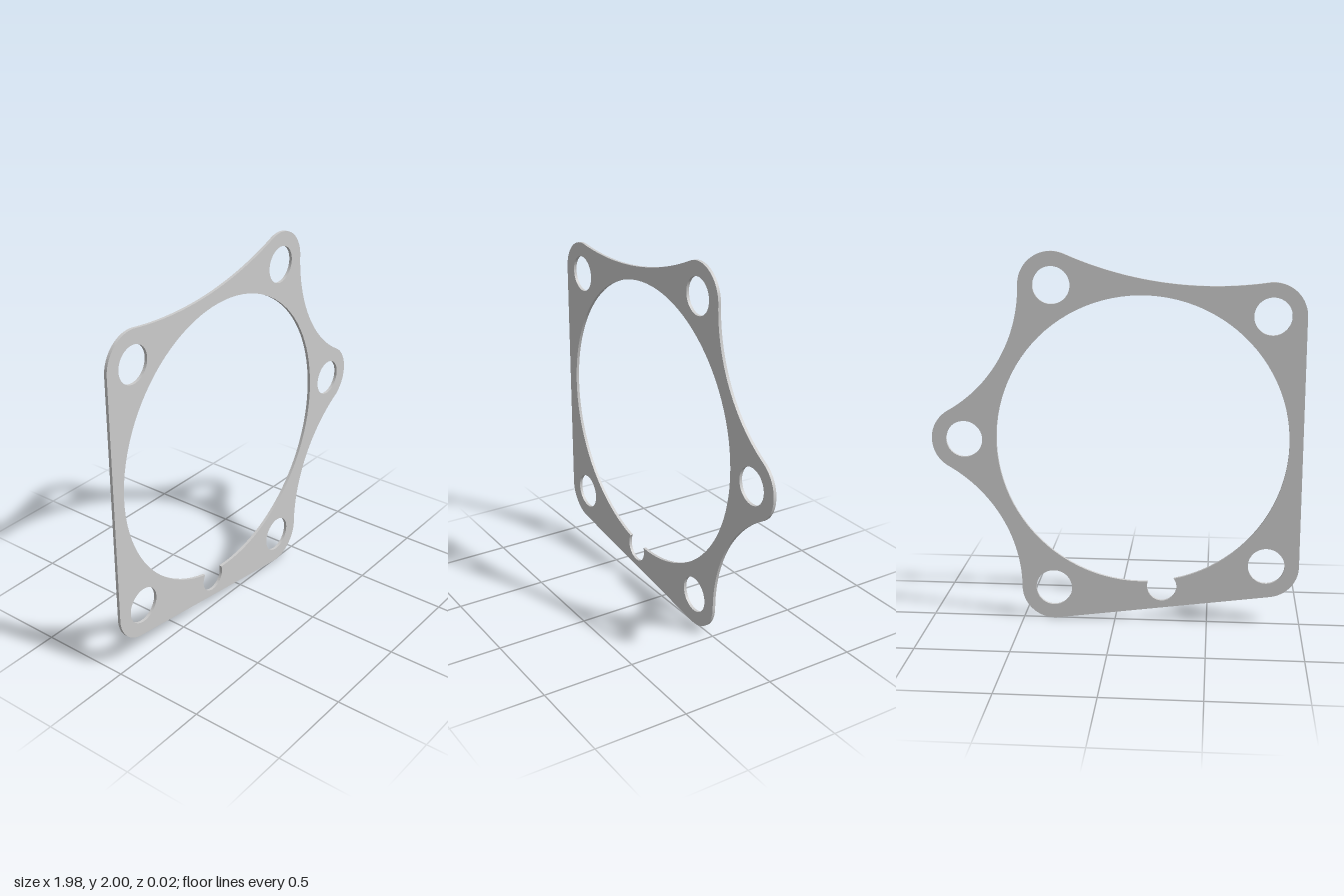
import * as THREE from 'three';
import { toCreasedNormals } from 'three/addons/utils/BufferGeometryUtils.js';

const THICKNESS = 0.016;
const LUG_R = 0.175, BOLT_R = 0.098;

// Lugs counter-clockwise; arc = radius of the concave edge to the next lug (0 = straight)
const LUGS = [
  { x: 0.81, y: 1.0, arc: 0.777 },
  { x: 0.333, y: 1.825, arc: 1.95 },
  { x: -0.815, y: 1.674, arc: 0 },
  { x: -0.815, y: 0.328, arc: 0 },
  { x: 0.333, y: 0.175, arc: 0.777 },
];

const angleTo = (a, b) => Math.atan2(b.y - a.y, b.x - a.x);

// Edge between two lugs: tangent angles on each lug, plus the arc centre if concave
function edgeBetween(a, b) {
  const dir = angleTo(a, b);
  const normal = dir - Math.PI / 2;
  if (!a.arc) return { start: normal, end: normal };
  const half = Math.hypot(b.x - a.x, b.y - a.y) / 2;
  const t = Math.sqrt((a.arc + LUG_R) ** 2 - half ** 2);
  const centre = {
    x: (a.x + b.x) / 2 + t * Math.cos(normal),
    y: (a.y + b.y) / 2 + t * Math.sin(normal),
  };
  return { start: angleTo(a, centre), end: angleTo(b, centre), centre };
}

// Outer contour: rounded lugs joined by tangent arcs or lines
function outline() {
  const n = LUGS.length;
  const edges = LUGS.map((lug, i) => edgeBetween(lug, LUGS[(i + 1) % n]));
  const shape = new THREE.Shape();
  LUGS.forEach((lug, i) => {
    const { start, centre } = edges[i];
    shape.absarc(lug.x, lug.y, LUG_R, edges[(i + n - 1) % n].end, start, false);
    if (centre) {
      const next = LUGS[(i + 1) % n];
      shape.absarc(centre.x, centre.y, lug.arc, angleTo(centre, lug), angleTo(centre, next), true);
    }
  });
  shape.closePath();
  return shape;
}

// Large bore with a round notch cut into its lower rim
function bore() {
  const c = { x: -0.1415, y: 1.0 }, R = 0.777;
  const k = { x: -0.255, y: 0.197 }, r = 0.08;
  const d = Math.hypot(k.x - c.x, k.y - c.y);
  const dir = angleTo(c, k);
  const spread = Math.acos((d * d + R * R - r * r) / (2 * d * R));
  const rim = (a) => ({ x: c.x + R * Math.cos(a), y: c.y + R * Math.sin(a) });
  const path = new THREE.Path();
  path.absarc(c.x, c.y, R, dir + spread, dir - spread + Math.PI * 2, false);
  path.absarc(k.x, k.y, r, angleTo(k, rim(dir - spread)), angleTo(k, rim(dir + spread)), false);
  path.closePath();
  return path;
}

export function createModel() {
  const shape = outline();
  shape.holes.push(bore());
  for (const { x, y } of LUGS) {
    shape.holes.push(new THREE.Path().absarc(x, y, BOLT_R, 0, Math.PI * 2, false));
  }

  // Thin flat plate, centred in depth
  const geometry = new THREE.ExtrudeGeometry(shape, {
    depth: THICKNESS, bevelEnabled: false, curveSegments: 48,
  });
  geometry.translate(0, 0, -THICKNESS / 2);

  const plate = new THREE.Mesh(
    toCreasedNormals(geometry, Math.PI / 6),
    new THREE.MeshStandardMaterial({ color: 0xcccccc }),
  );
  plate.name = 'gasketPlate';

  const group = new THREE.Group();
  group.name = 'flangeGasket';
  group.add(plate);
  return group;
}
